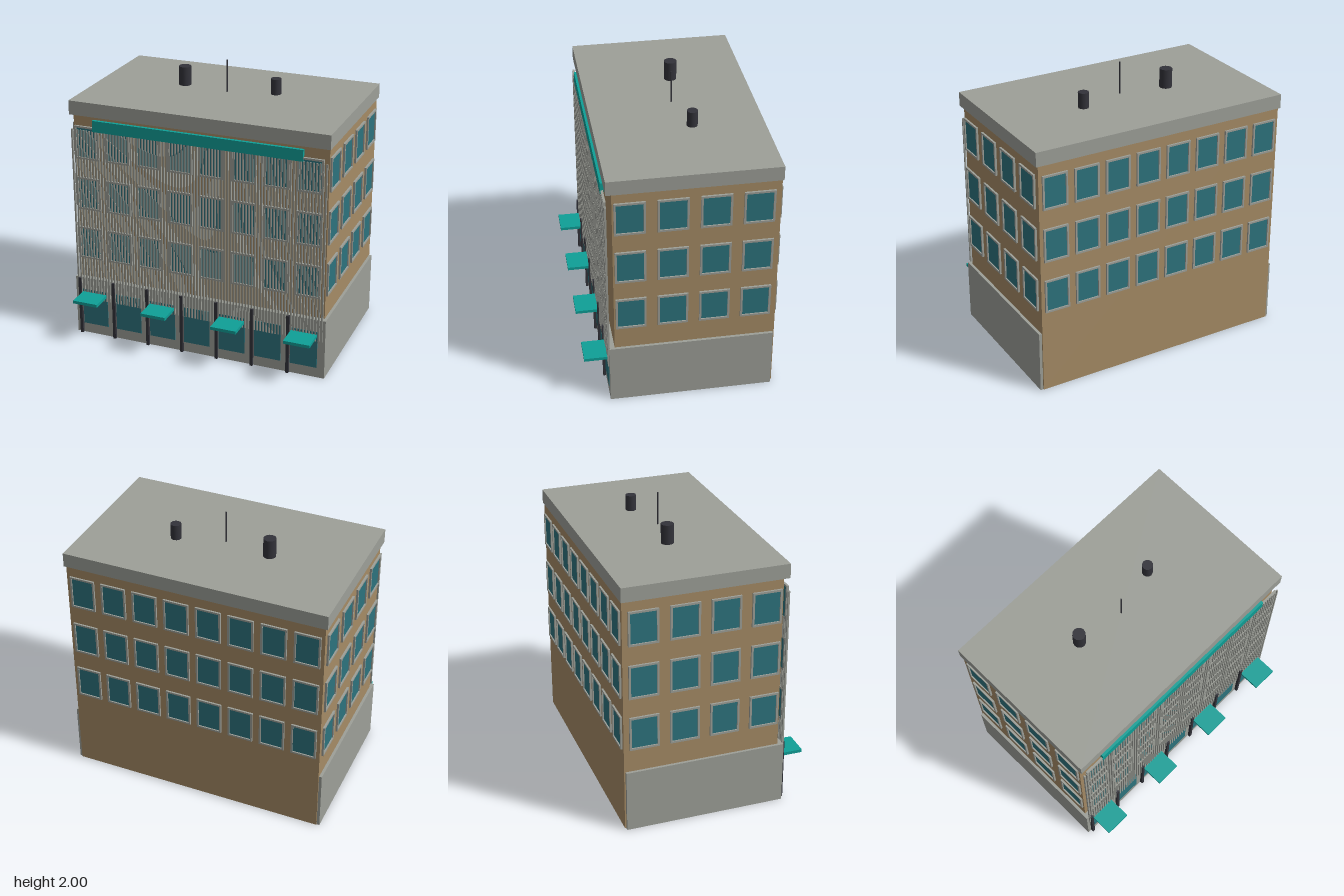
import * as THREE from 'three';

const mat = (name, color) => {
  const m = new THREE.MeshStandardMaterial({ color });
  m.name = name;
  return m;
};

export function createModel() {
  const model = new THREE.Group();
  model.name = 'officeBlock';
  const concrete = mat('concrete grey', 0x9d9f98);
  const tan = mat('tan wall', 0xa58b65);
  const glass = mat('blue glass', 0x2d737d);
  const teal = mat('teal trim', 0x0f9f97);
  const dark = mat('dark metal', 0x33333a);

  // Box given by its minimum and maximum on each axis
  const box = (name, material, x0, x1, y0, y1, z0, z1, parent = model) => {
    const mesh = new THREE.Mesh(new THREE.BoxGeometry(x1 - x0, y1 - y0, z1 - z0), material);
    mesh.position.set((x0 + x1) / 2, (y0 + y1) / 2, (z0 + z1) / 2);
    mesh.name = name;
    parent.add(mesh);
    return mesh;
  };
  const rod = (name, x, z, r, top, sides) => {
    const h = top - 1.765;
    const mesh = new THREE.Mesh(new THREE.CylinderGeometry(r, r, h, sides), dark);
    mesh.position.set(x, 1.765 + h / 2, z);
    mesh.name = name;
    model.add(mesh);
  };

  // Main masses
  box('upperWalls', tan, -0.92, 0.92, 0.004, 1.76, -0.645, 0.45);
  box('groundFloor', concrete, -0.94, 0.94, 0, 0.44, -0.635, 0.487);
  box('parapet', concrete, -0.935, 0.935, 1.67, 1.77, -0.652, 0.488);

  // Window: a frame with an opening and a pane set back inside it
  const windowGeometry = (w, h, t) => {
    const rect = (a, b, P) => new P().moveTo(-a, -b).lineTo(a, -b).lineTo(a, b).lineTo(-a, b).closePath();
    const shape = rect(w / 2, h / 2, THREE.Shape);
    shape.holes.push(rect(w / 2 - t, h / 2 - t, THREE.Path));
    return {
      frame: new THREE.ExtrudeGeometry(shape, { depth: 0.016, bevelEnabled: false }),
      pane: new THREE.BoxGeometry(w - 2 * t, h - 2 * t, 0.006),
    };
  };
  const wide = windowGeometry(0.205, 0.24, 0.014);
  const narrow = windowGeometry(0.18, 0.24, 0.013);
  const addWindow = (geo, x, y, z, turn) => {
    const g = new THREE.Group();
    g.name = 'window';
    const frame = new THREE.Mesh(geo.frame, concrete);
    frame.name = 'windowFrame';
    const pane = new THREE.Mesh(geo.pane, glass);
    pane.name = 'windowPane';
    pane.position.z = 0.004;
    g.add(frame, pane);
    g.position.set(x, y, z);
    g.rotation.y = turn;
    model.add(g);
  };
  for (let row = 0; row < 3; row++) {
    const y = 0.724 + row * 0.377;
    for (let i = 0; i < 8; i++) {
      const x = (i - 3.5) * 0.23;
      addWindow(narrow, x, y, 0.482, 0);
      addWindow(narrow, x, y, -0.642, Math.PI);
    }
    for (let i = 0; i < 4; i++) {
      const z = 0.336 - i * 0.28;
      addWindow(wide, 0.918, y, z, Math.PI / 2);
      addWindow(wide, -0.918, y, z, -Math.PI / 2);
    }
  }

  // Screen of upright slats standing off the front wall
  const screen = new THREE.Group();
  screen.name = 'slatScreen';
  model.add(screen);
  const slats = 84;
  for (let i = 0; i < slats; i++) {
    const x = -0.915 + (1.83 * i) / (slats - 1);
    box('slat', concrete, x - 0.0055, x + 0.0055, 0.28, 1.57, 0.484, 0.497, screen);
  }

  // Shop windows, posts and canopies along the street
  for (let i = 0; i < 7; i++) {
    const x = (i - 3) * 0.263;
    box('shopWindow', glass, x - 0.097, x + 0.097, 0.075, 0.35, 0.484, 0.491);
    box('post', dark, x - 0.123, x - 0.102, 0, 0.44, 0.485, 0.507);
    if (i % 2 === 0) box('canopy', teal, x - 0.093, x + 0.093, 0.31, 0.332, 0.487, 0.655);
  }

  // Fascia board above the slats
  box('fascia', teal, -0.755, 0.755, 1.57, 1.65, 0.478, 0.501);

  // Roof vents and mast
  rod('largeVent', -0.335, -0.135, 0.044, 1.905, 12);
  rod('smallVent', 0.33, -0.17, 0.037, 1.88, 12);
  rod('mast', 0, -0.085, 0.005, 2, 6);

  return model;
}
